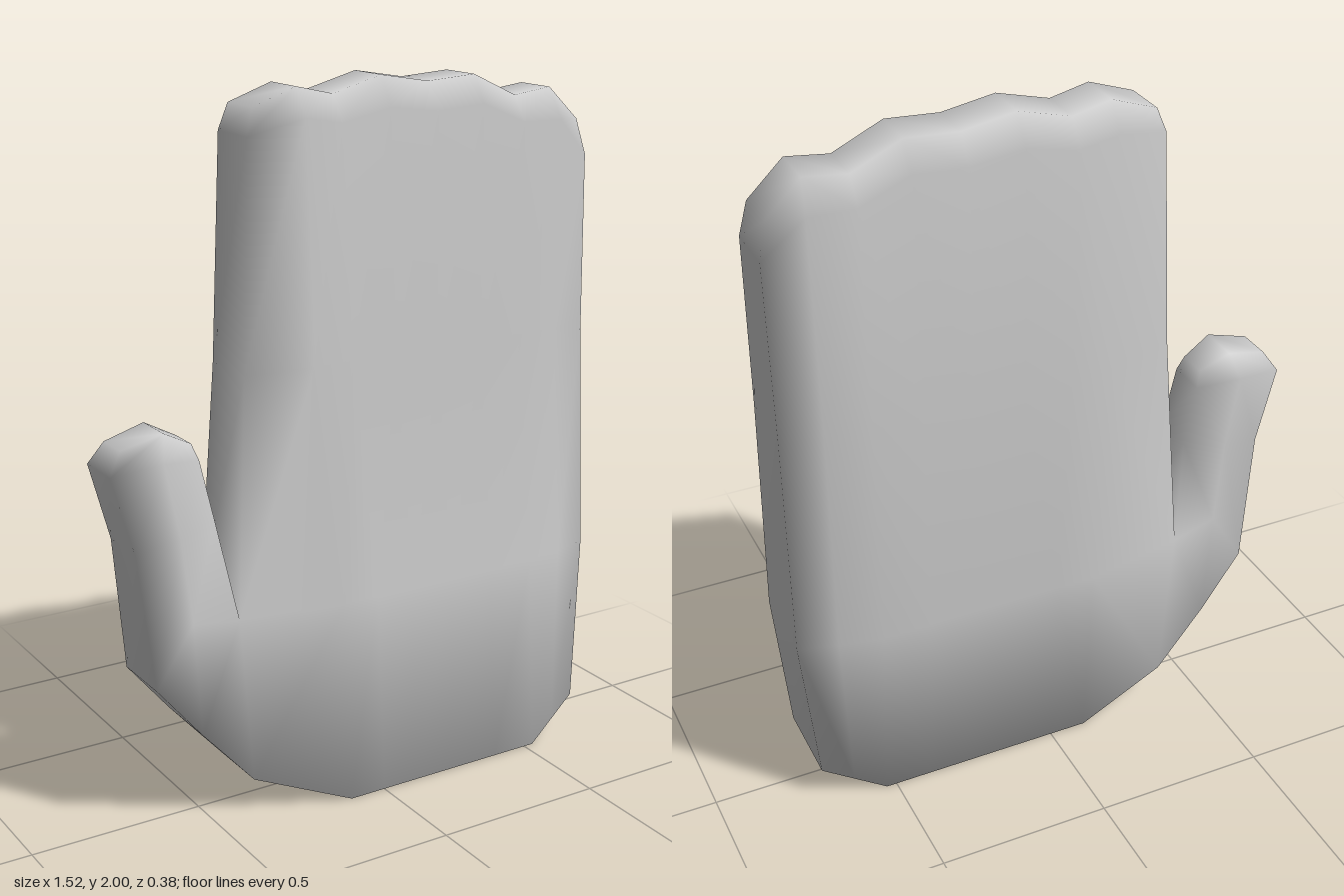
import * as THREE from 'three';
import { mergeVertices } from 'three/addons/utils/BufferGeometryUtils.js';

// Rows run left to right; each point is [x, y, front z, back z]
const row = (xs, ys, front, back) =>
  xs.map((x, i) => [x, ys[i] ?? ys, front[i] ?? front, back[i] ?? back]);

// Join sheets of rows into one solid: front skin, back skin, and a wall along every open border
function solid(sheets) {
  const pos = [], edges = new Map();
  const f = p => [p[0], p[1], p[2]], b = p => [p[0], p[1], p[3]];
  const key = p => p[0] + ',' + p[1];
  const tri = (p, q, r) => {
    if (key(p) === key(q) || key(q) === key(r) || key(r) === key(p)) return;
    pos.push(...f(p), ...f(q), ...f(r), ...b(p), ...b(r), ...b(q));
    for (const [s, t] of [[p, q], [q, r], [r, p]]) edges.set(key(s) + '|' + key(t), [s, t]);
  };
  for (const rows of sheets)
    for (let j = 0; j < rows.length - 1; j++)
      for (let i = 0; i < rows[j].length - 1; i++) {
        const p = rows[j][i], q = rows[j][i + 1], r = rows[j + 1][i + 1], s = rows[j + 1][i];
        tri(p, q, r);
        tri(p, r, s);
      }
  for (const [s, t] of edges.values())
    if (!edges.has(key(t) + '|' + key(s)))
      pos.push(...f(s), ...b(s), ...b(t), ...f(s), ...b(t), ...f(t));
  const g = new THREE.BufferGeometry();
  g.setAttribute('position', new THREE.Float32BufferAttribute(pos, 3));
  const merged = mergeVertices(g, 1e-4);
  merged.computeVertexNormals();
  return merged;
}

export function createModel() {
  // Line where the heel of the hand meets the fingers and the thumb
  const knuckle = row(
    [-0.41, -0.11, 0, 0.12, 0.25, 0.39, 0.53, 0.65, 0.76], 0.58,
    [0.1, 0.15, 0.15, 0.15, 0.15, 0.15, 0.15, 0.13, 0.1],
    [-0.13, -0.19, -0.19, -0.19, -0.19, -0.19, -0.19, -0.165, -0.135]);
  const thumbRoot = [[-0.66, 0.43, 0.095, -0.095], [-0.55, 0.6, 0.1, -0.11], knuckle[0]];

  // Heel of the hand, with its rounded lower outline
  const heel = [
    [[-0.66, 0.43, 0.095, -0.095], [-0.53, 0.27, 0.1, -0.11], ...row(
      [-0.38, -0.11, 0, 0.12, 0.25, 0.39, 0.53, 0.62, 0.71],
      [0.1, 0, 0, 0, 0, 0, 0, 0.05, 0.1],
      [0.11, 0.19, 0.19, 0.19, 0.19, 0.19, 0.19, 0.165, 0.14],
      [-0.12, -0.15, -0.15, -0.15, -0.15, -0.15, -0.15, -0.13, -0.11])],
    [...thumbRoot, ...knuckle.slice(1)],
  ];

  // Joined fingers, with a scalloped, bevelled top
  const topX = [-0.31, -0.18, -0.07, 0.08, 0.23, 0.38, 0.52, 0.64, 0.74];
  const topY = [1.94, 1.985, 1.96, 2, 1.975, 1.985, 1.92, 1.935, 1.84];
  const fingers = [
    knuckle,
    row([-0.365, -0.16, -0.04, 0.1, 0.24, 0.385, 0.525, 0.65, 0.76], 1.25,
      [0.065, 0.08, 0.08, 0.08, 0.08, 0.08, 0.08, 0.075, 0.06],
      [-0.11, -0.17, -0.18, -0.18, -0.18, -0.18, -0.18, -0.165, -0.13]),
    row([-0.34, -0.18, -0.07, 0.08, 0.23, 0.38, 0.52, 0.65, 0.76],
      [1.87, 1.91, 1.89, 1.92, 1.9, 1.91, 1.85, 1.85, 1.74],
      [0.055, 0.08, 0.08, 0.08, 0.08, 0.08, 0.08, 0.075, 0.05],
      [-0.1, -0.15, -0.15, -0.15, -0.15, -0.15, -0.15, -0.145, -0.11]),
    row(topX, topY, 0.03, -0.1),
  ];

  // Thumb, leaning outward
  const thumb = [
    thumbRoot,
    [[-0.7, 0.82, 0.075, -0.075], [-0.58, 0.85, 0.1, -0.1], [-0.46, 0.87, 0.06, -0.07]],
    [[-0.76, 1.04, 0.07, -0.07], [-0.62, 1.06, 0.097, -0.097], [-0.5, 1.04, 0.06, -0.06]],
    [[-0.72, 1.1, 0.05, -0.05], [-0.6, 1.13, 0.06, -0.06], [-0.515, 1.085, 0.045, -0.045]],
  ];

  const hand = new THREE.Mesh(
    solid([heel, fingers, thumb]),
    new THREE.MeshStandardMaterial({ color: 0xcccccc }));
  hand.name = 'mittenHand';
  const group = new THREE.Group();
  group.name = 'hand';
  group.add(hand);
  return group;
}
